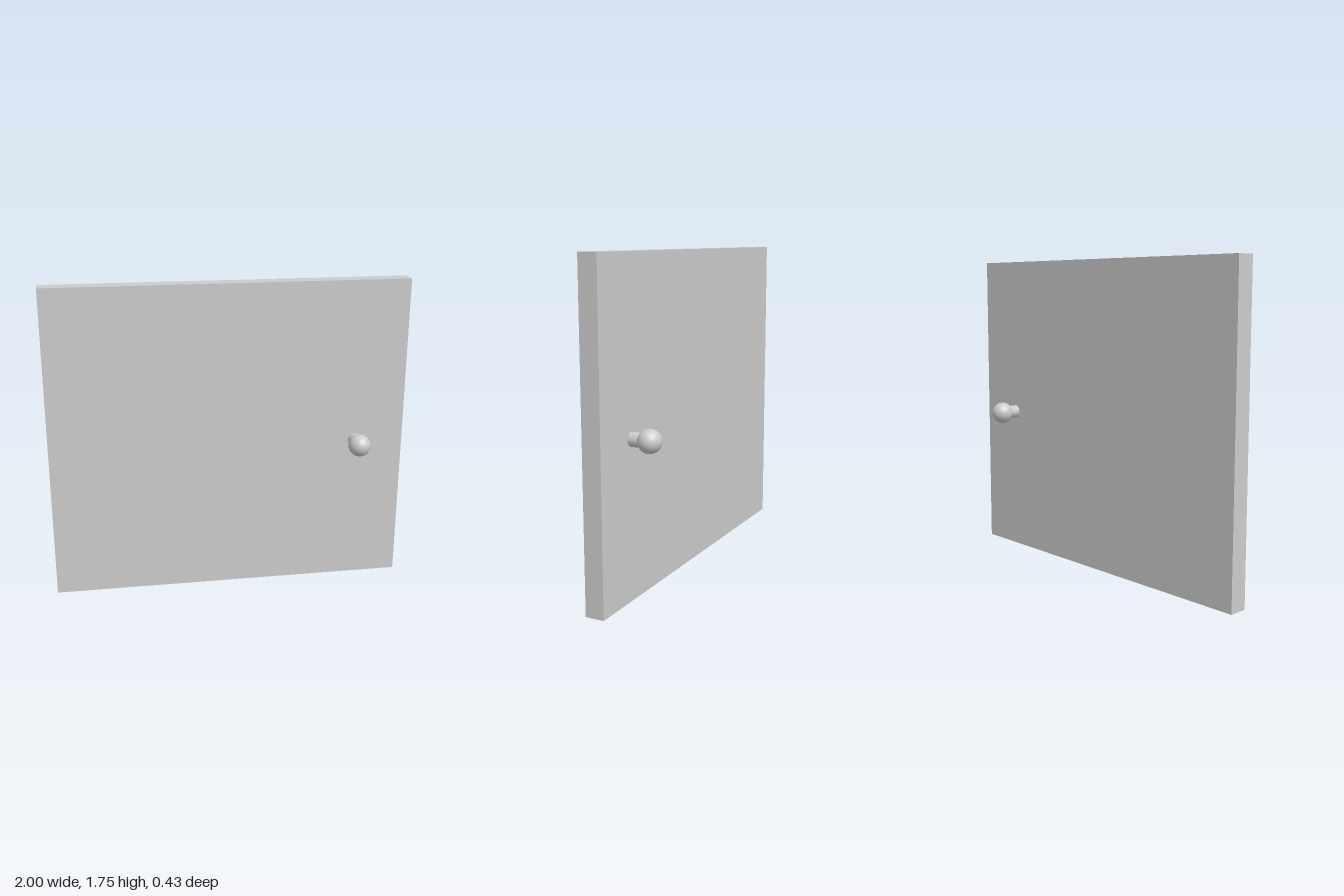
import * as THREE from 'three';

export function createModel() {
  const group = new THREE.Group();
  const material = new THREE.MeshStandardMaterial({ color: 0xcccccc });

  const add = (name, geometry, x, y, z) => {
    const mesh = new THREE.Mesh(geometry, material);
    mesh.name = name;
    mesh.position.set(x, y, z);
    group.add(mesh);
    return mesh;
  };

  const width = 2, height = 1.75, thickness = 0.103;
  const knobX = 0.72, knobY = 0.84, knobZ = 0.155;

  // Flat door panel
  add('doorPanel', new THREE.BoxGeometry(width, height, thickness), 0, height / 2, 0);

  // Spindle running through the panel, joining both knobs
  const spindle = add('knobSpindle', new THREE.CylinderGeometry(0.037, 0.037, 2 * knobZ, 32), knobX, knobY, 0);
  spindle.rotation.x = Math.PI / 2;

  // One round knob on each face
  for (const [name, side] of [['frontKnob', 1], ['backKnob', -1]]) {
    add(name, new THREE.SphereGeometry(0.062, 32, 24), knobX, knobY, side * knobZ);
  }

  return group;
}
